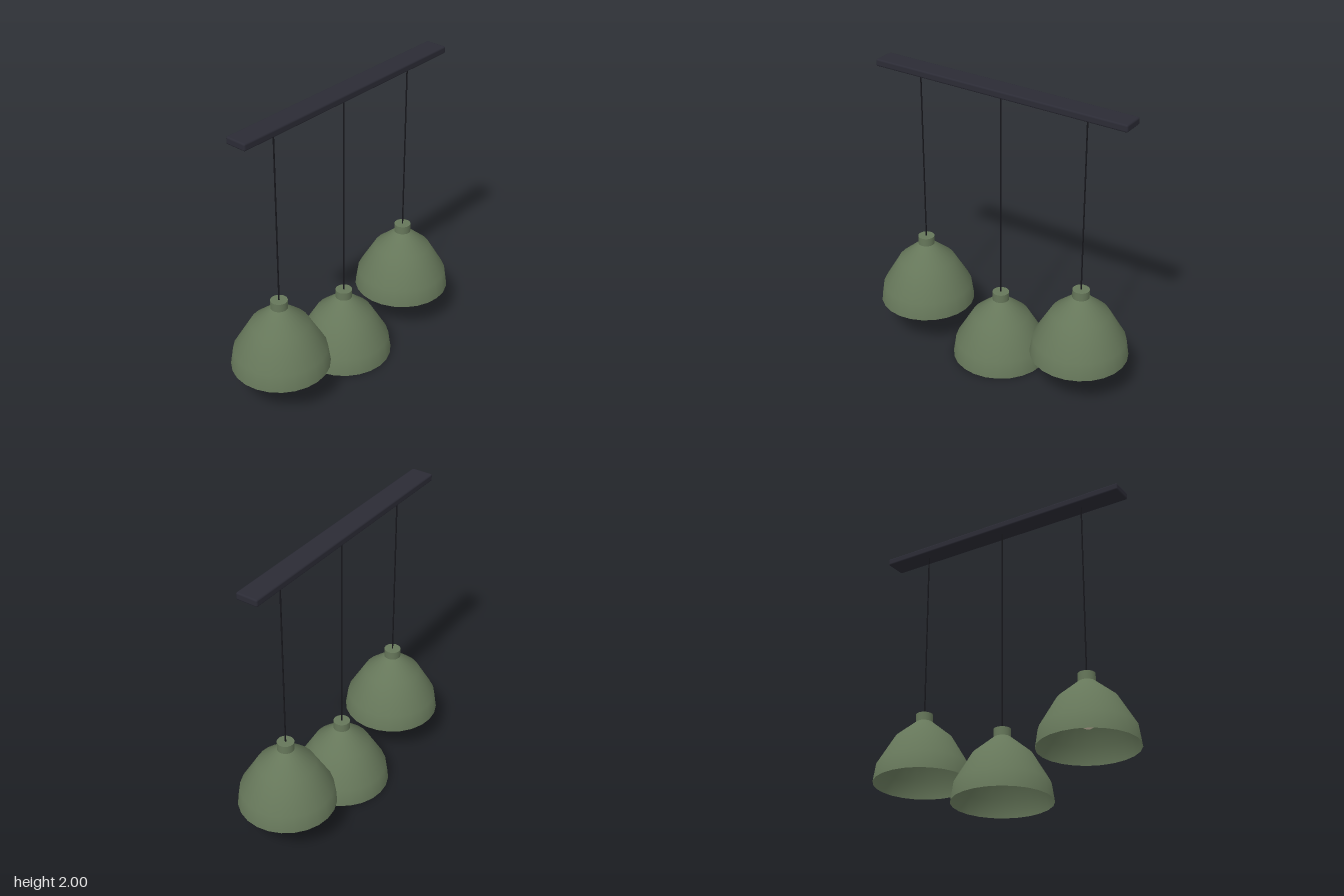
import * as THREE from 'three';
import { RoundedBoxGeometry } from 'three/addons/geometries/RoundedBoxGeometry.js';

const mat = (name, color, side = THREE.FrontSide) =>
  Object.assign(new THREE.MeshStandardMaterial({ color, side }), { name });

export function createModel() {
  const green = mat('sage green', 0x66775a, THREE.DoubleSide);
  const charcoal = mat('charcoal', 0x2b2b35);
  const black = mat('black cord', 0x17171c);
  const cream = mat('warm bulb', 0xeeddc2);

  const add = (parent, name, geometry, material, x = 0, y = 0, z = 0) => {
    const mesh = new THREE.Mesh(geometry, material);
    mesh.name = name;
    mesh.position.set(x, y, z);
    parent.add(mesh);
    return mesh;
  };

  const model = new THREE.Group();
  model.name = 'pendantLamp';

  // Ceiling bar with softened edges
  add(model, 'ceilingBar', new RoundedBoxGeometry(1.874, 0.05, 0.154, 2, 0.012), charcoal, 0, 1.975);

  // Open bell shade, from the rim up to the neck
  const profile = [[0.33, 0], [0.312, 0.12], [0.196, 0.317], [0.057, 0.435]]
    .map(([r, y]) => new THREE.Vector2(r, y));
  const shadeGeometry = new THREE.LatheGeometry(profile, 24);
  const neckGeometry = new THREE.CylinderGeometry(0.057, 0.057, 0.065, 24);
  const bulbGeometry = new THREE.SphereGeometry(0.058, 20, 14);
  const socketGeometry = new THREE.CylinderGeometry(0.03, 0.03, 0.22, 16);

  // Three pendants, the middle one hanging lower
  for (const [name, x, y] of [['rightPendant', -0.627, 0.24], ['middlePendant', 0, 0], ['leftPendant', 0.627, 0.24]]) {
    const pendant = new THREE.Group();
    pendant.name = name;
    pendant.position.set(x, y, 0);
    model.add(pendant);

    add(pendant, 'shade', shadeGeometry, green);
    add(pendant, 'neck', neckGeometry, green, 0, 0.4605);
    add(pendant, 'socket', socketGeometry, black, 0, 0.325);
    add(pendant, 'bulb', bulbGeometry, cream, 0, 0.18);

    // Cord from the neck up into the bar
    const length = 1.96 - y - 0.48;
    add(pendant, 'cord', new THREE.CylinderGeometry(0.005, 0.005, length, 8), black, 0, 0.48 + length / 2);
  }
  return model;
}
